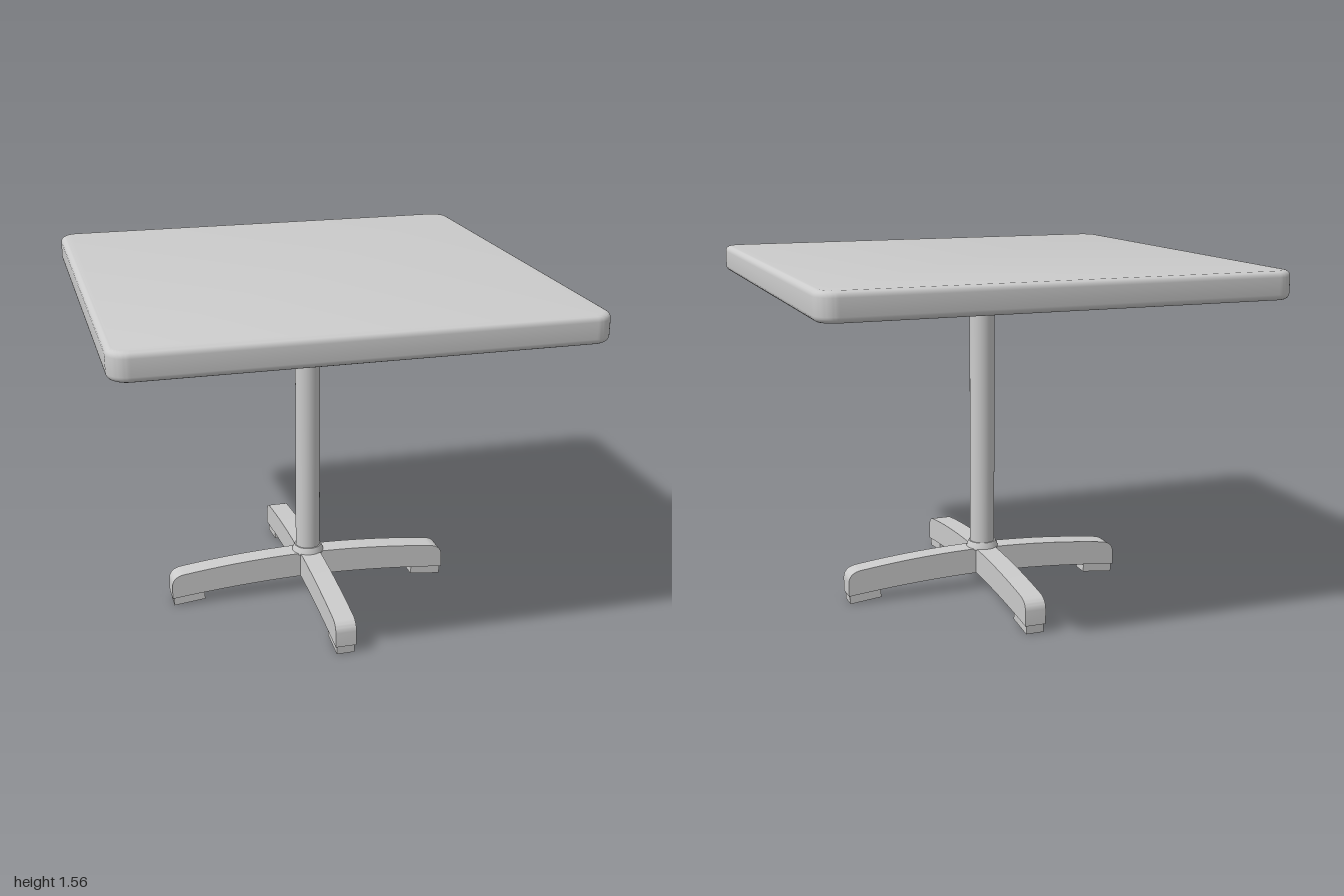
import * as THREE from 'three';
import { toCreasedNormals } from 'three/addons/utils/BufferGeometryUtils.js';

const material = new THREE.MeshStandardMaterial({ color: 0xcccccc });
const CENTER_Z = 0.01; // pedestal sits slightly forward of the top's centre

function addMesh(parent, name, geometry) {
  const mesh = new THREE.Mesh(geometry, material);
  mesh.name = name;
  parent.add(mesh);
  return mesh;
}

// Square slab with rounded corners and softened edges
function tabletopGeometry() {
  const bevel = 0.025, h = 1 - bevel, r = 0.06, thickness = 0.12;
  const s = new THREE.Shape();
  s.absarc(h - r, h - r, r, 0, Math.PI / 2);
  s.absarc(-h + r, h - r, r, Math.PI / 2, Math.PI);
  s.absarc(-h + r, -h + r, r, Math.PI, Math.PI * 1.5);
  s.absarc(h - r, -h + r, r, Math.PI * 1.5, Math.PI * 2);
  const g = new THREE.ExtrudeGeometry(s, {
    depth: thickness - 2 * bevel, bevelEnabled: true, bevelSize: bevel,
    bevelThickness: bevel, bevelSegments: 5, curveSegments: 8,
  });
  g.rotateX(-Math.PI / 2);
  g.translate(0, 1.445 + bevel, 0);
  return toCreasedNormals(g, 0.7);
}

// Extrudes a side profile (x outwards, y up) to a width centred on z = 0
function sideExtrude(shape, width) {
  const g = new THREE.ExtrudeGeometry(shape, { depth: width, bevelEnabled: false, curveSegments: 12 });
  g.translate(0, 0, -width / 2);
  return toCreasedNormals(g, 0.6);
}

function legGeometry() {
  const s = new THREE.Shape();
  s.moveTo(0, 0.082);
  s.quadraticCurveTo(0.32, 0.08, 0.665, 0.041);
  s.lineTo(0.665, 0.1);
  s.bezierCurveTo(0.665, 0.135, 0.645, 0.157, 0.6, 0.161);
  s.quadraticCurveTo(0.3, 0.2, 0, 0.201);
  s.closePath();
  return sideExtrude(s, 0.094);
}

function footGeometry() {
  const s = new THREE.Shape();
  s.moveTo(0.51, 0.018);
  s.lineTo(0.657, 0.002);
  s.lineTo(0.66, 0.044);
  s.lineTo(0.513, 0.062);
  s.closePath();
  return sideExtrude(s, 0.08);
}

// Turned part from [radius, y] pairs, with crisp profile corners
function turned(points) {
  const g = new THREE.LatheGeometry(points.map(([r, y]) => new THREE.Vector2(r, y)), 32);
  return toCreasedNormals(g, 0.5);
}

export function createModel() {
  const table = new THREE.Group();
  table.name = 'pedestalTable';
  addMesh(table, 'tabletop', tabletopGeometry());

  const pedestal = new THREE.Group();
  pedestal.name = 'pedestal';
  pedestal.position.z = CENTER_Z;
  table.add(pedestal);

  // Column with flared collars at both ends
  const column = new THREE.CylinderGeometry(0.057, 0.057, 1.25, 32, 1, true);
  column.translate(0, 0.825, 0);
  addMesh(pedestal, 'column', column);
  addMesh(pedestal, 'topCollar', turned([[0.055, 1.417], [0.062, 1.417], [0.072, 1.45], [0, 1.45]]));
  addMesh(pedestal, 'bottomCollar', turned([[0, 0.195], [0.075, 0.195], [0.072, 0.208], [0.063, 0.228], [0.055, 0.228]]));
  addMesh(pedestal, 'hub', turned([[0, 0.081], [0.06, 0.081], [0.06, 0.2], [0, 0.2]]));

  // Four arched legs with foot pads
  const leg = legGeometry(), foot = footGeometry();
  for (let i = 0; i < 4; i++) {
    const arm = new THREE.Group();
    arm.name = `legAssembly${i + 1}`;
    arm.rotation.y = i * Math.PI / 2;
    addMesh(arm, 'leg', leg);
    addMesh(arm, 'footPad', foot);
    pedestal.add(arm);
  }
  return table;
}
